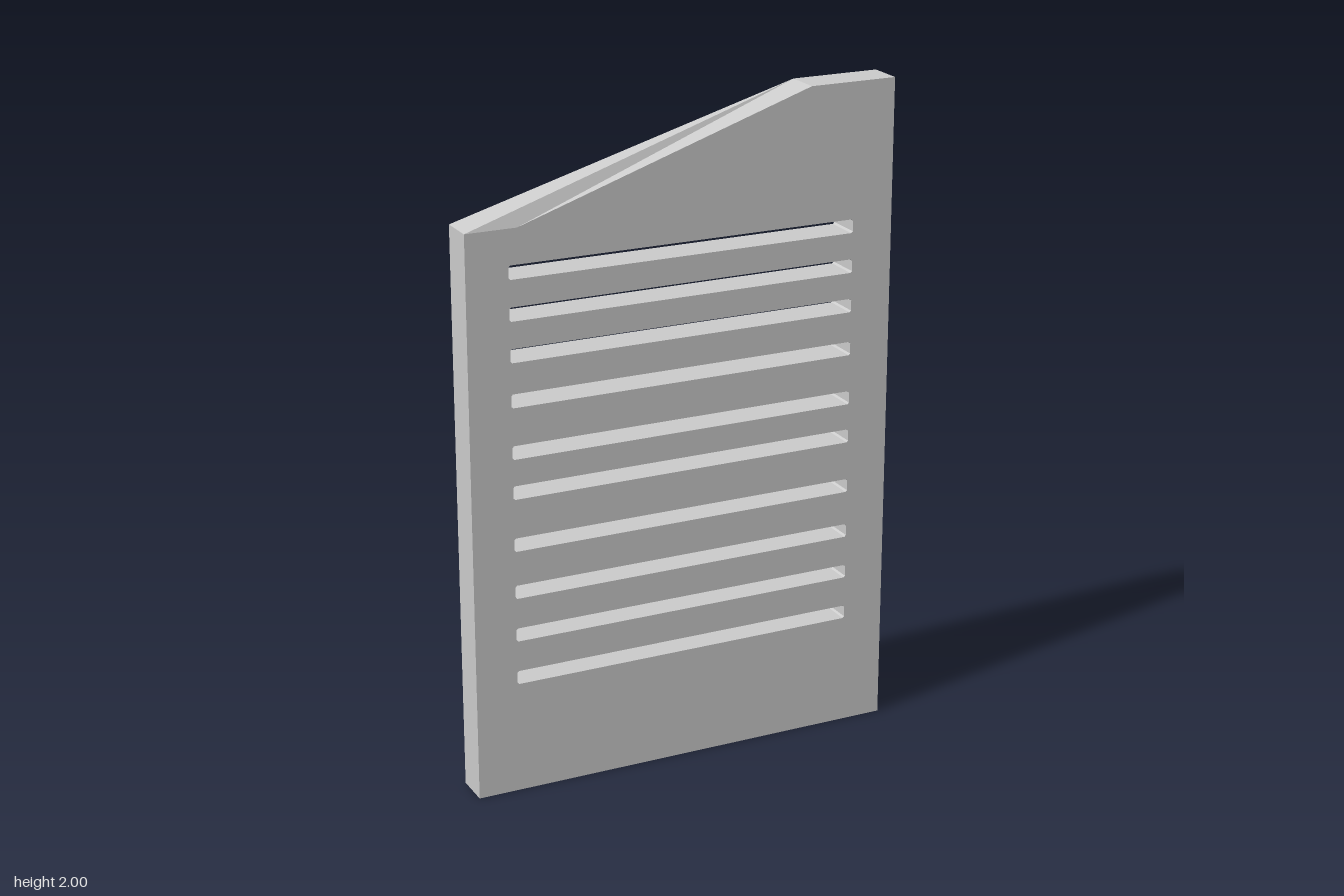
import * as THREE from 'three';
import { mergeGeometries } from 'three/addons/utils/BufferGeometryUtils.js';

const HALF_W = 0.665, HALF_D = 0.055;
const LOW = 1.7, TOP = 2, PEAK_X = 0.395, STEP_X = -0.51;
const SLOT_CENTRES = [0.36, 0.494, 0.627, 0.772, 0.93, 1.05, 1.203, 1.335, 1.455, 1.575];

const vec = (x, y) => new THREE.Vector2(x, y);

// Slot outline, clockwise, with tiny softened corners
function slotPoints(y) {
  const w = 0.538, h = 0.0205, c = 0.005;
  return [
    [-w, y - h + c], [-w, y + h - c], [-w + c, y + h], [w - c, y + h],
    [w, y + h - c], [w, y - h + c], [w - c, y - h], [-w + c, y - h],
  ].map((p) => vec(...p));
}

function fromTriangles(points) {
  const g = new THREE.BufferGeometry().setFromPoints(points);
  g.computeVertexNormals();
  return g;
}

// Flat wall between the front and back faces along an edge p -> q
function wall(p, q) {
  const at = (v, z) => new THREE.Vector3(v.x, v.y, z);
  const a = at(p, HALF_D), b = at(p, -HALF_D), c = at(q, -HALF_D), d = at(q, HALF_D);
  return fromTriangles([a, b, c, a, c, d]);
}

// Face pierced by the slots
function face(outline, slots, isFront) {
  const shape = new THREE.Shape(outline);
  slots.forEach((s) => shape.holes.push(new THREE.Path(s)));
  const g = new THREE.ShapeGeometry(shape).toNonIndexed();
  g.deleteAttribute('uv');
  if (!isFront) {
    // Turn the back face around by swapping two corners of each triangle
    const p = g.attributes.position;
    for (let i = 0; i < p.count; i += 3) {
      const x = p.getX(i), y = p.getY(i);
      p.setXY(i, p.getX(i + 1), p.getY(i + 1));
      p.setXY(i + 1, x, y);
    }
    g.computeVertexNormals();
  }
  return g.translate(0, 0, isFront ? HALF_D : -HALF_D);
}

export function createModel() {
  const group = new THREE.Group();
  group.name = 'slottedPanel';
  const material = new THREE.MeshStandardMaterial({ color: 0xcccccc, flatShading: true });
  const add = (name, parts) => {
    const mesh = new THREE.Mesh(mergeGeometries(parts), material);
    mesh.name = name;
    group.add(mesh);
  };

  const slots = SLOT_CENTRES.map(slotPoints);
  const base = [vec(-HALF_W, LOW), vec(-HALF_W, 0), vec(HALF_W, 0), vec(HALF_W, TOP), vec(PEAK_X, TOP)];

  // Front has a short level step before the slope; the back slopes straight
  add('frontFace', [face([...base, vec(STEP_X, LOW)], slots, true)]);
  add('backFace', [face(base, slots, false)]);

  // Sides, bottom and level part of the top
  add('outerEdges', base.slice(1).map((q, i) => wall(base[i], q)));

  // Twisted slope joining the two different top outlines
  const frontLow = new THREE.Vector3(-HALF_W, LOW, HALF_D);
  const backLow = new THREE.Vector3(-HALF_W, LOW, -HALF_D);
  const step = new THREE.Vector3(STEP_X, LOW, HALF_D);
  const frontPeak = new THREE.Vector3(PEAK_X, TOP, HALF_D);
  const backPeak = new THREE.Vector3(PEAK_X, TOP, -HALF_D);
  add('slopedTop', [fromTriangles([
    frontLow, backPeak, backLow,
    frontLow, step, backPeak,
    step, frontPeak, backPeak,
  ])]);

  // Inner walls of every slot
  add('slotWalls', slots.flatMap((s) => s.map((p, i) => wall(p, s[(i + 1) % s.length]))));

  return group;
}
